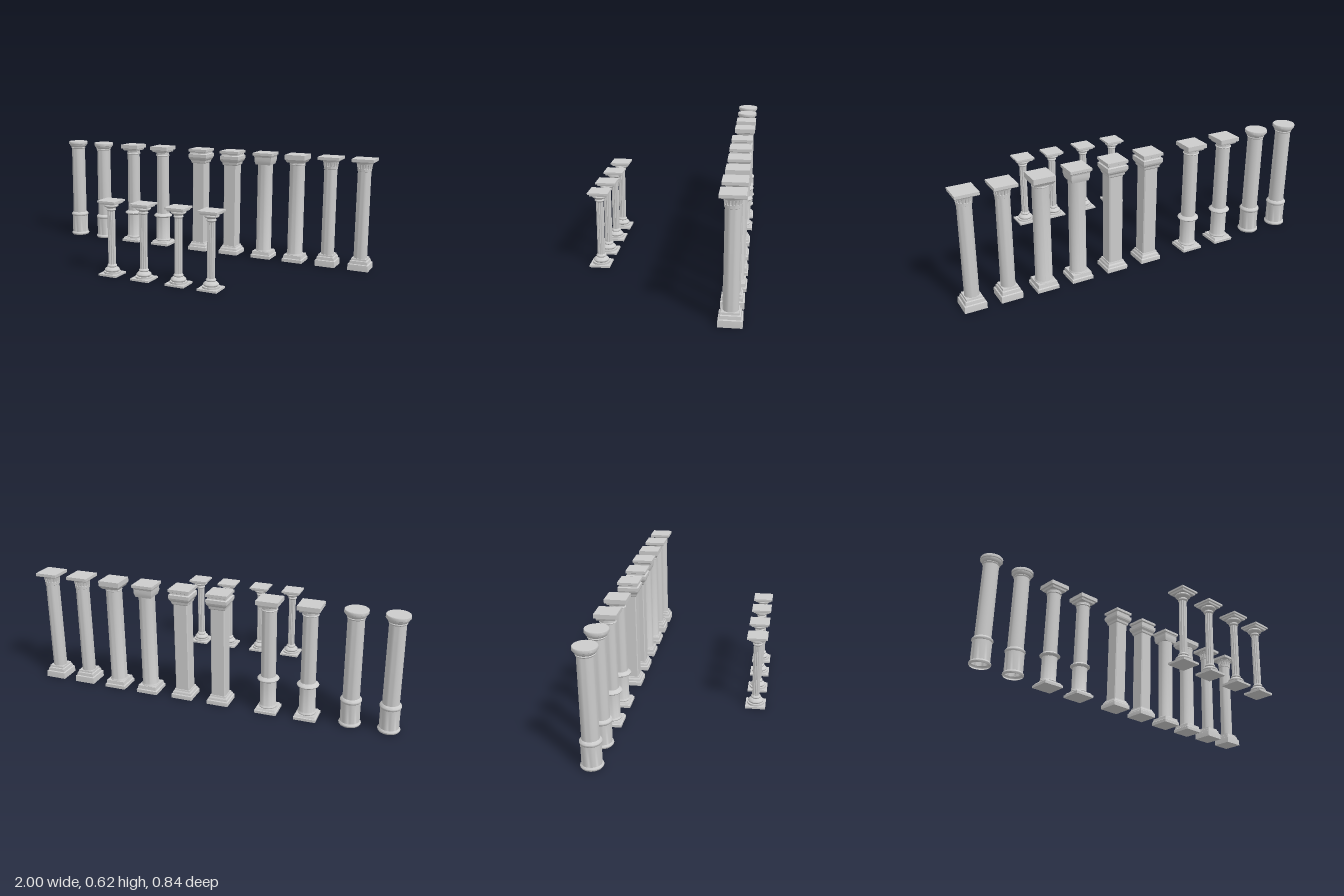
import * as THREE from 'three';
import { toCreasedNormals } from 'three/addons/utils/BufferGeometryUtils.js';

const grey = new THREE.MeshStandardMaterial({ color: 0xcccccc });
const greyOpen = new THREE.MeshStandardMaterial({ color: 0xcccccc, side: THREE.DoubleSide });

function add(group, name, geometry, material = grey) {
  const mesh = new THREE.Mesh(geometry, material);
  mesh.name = name;
  group.add(mesh);
  return mesh;
}

const points = (profile) => profile.map(([r, y]) => new THREE.Vector2(r, y));

// Round part from a [radius, height] profile, listed bottom to top
function round(group, name, profile, material) {
  const geometry = new THREE.LatheGeometry(points(profile), 32);
  return add(group, name, toCreasedNormals(geometry, 0.6), material);
}

// Square part from a [half width, height] profile, closed at both ends
function square(group, name, profile) {
  const closed = [[0, profile[0][1]], ...profile, [0, profile[profile.length - 1][1]]];
  const wide = closed.map(([w, y]) => [w * Math.SQRT2, y]);
  const geometry = new THREE.LatheGeometry(points(wide), 4, Math.PI / 4);
  return add(group, name, toCreasedNormals(geometry, 0.3));
}

// Half-round moulding as profile points
function bead(r, y0, y1, bulge, n = 6) {
  return Array.from({ length: n + 1 }, (_, i) => [
    r + bulge * Math.sin((Math.PI * i) / n), y0 + ((y1 - y0) * i) / n]);
}

// Plain drum column on a wider round pedestal, hollow underneath
function drumColumn() {
  const g = new THREE.Group();
  round(g, 'pedestal', [[0.05, 0], ...bead(0.052, 0, 0.018, 0.005), [0.05, 0.02], [0.05, 0.125],
    ...bead(0.05, 0.127, 0.147, 0.005), [0.043, 0.152]], greyOpen);
  round(g, 'shaft', [[0.043, 0.15], [0.042, 0.575]]);
  round(g, 'capital', [[0.042, 0.573], ...bead(0.043, 0.575, 0.583, 0.003), [0.047, 0.585],
    [0.052, 0.592], [0.056, 0.601], [0.06, 0.603], [0.06, 0.617], [0.058, 0.62], [0, 0.62]]);
  return g;
}

// Round column with a ring a third of the way up
function ringedColumn() {
  const g = new THREE.Group();
  square(g, 'plinth', [[0.058, 0], [0.058, 0.014], [0.053, 0.016], [0.048, 0.026]]);
  round(g, 'lowerShaft', [...bead(0.044, 0.024, 0.036, 0.004), [0.042, 0.04], [0.042, 0.175]]);
  round(g, 'ring', [[0.042, 0.173], ...bead(0.048, 0.176, 0.193, 0.009), [0.043, 0.197], [0.039, 0.2]]);
  round(g, 'shaft', [[0.039, 0.195], [0.038, 0.56], ...bead(0.039, 0.56, 0.568, 0.004),
    [0.039, 0.57], [0.039, 0.58], [0.047, 0.59], [0.047, 0.596]]);
  square(g, 'abacus', [[0.046, 0.585], [0.049, 0.595], [0.058, 0.598], [0.058, 0.62]]);
  return g;
}

// Square pier with a double-stepped capital
function squarePier() {
  const g = new THREE.Group();
  square(g, 'base', [[0.058, 0], [0.058, 0.022], [0.053, 0.026], [0.05, 0.036], [0.045, 0.042], [0.043, 0.05]]);
  const w = 0.039, c = 0.005;
  const outline = new THREE.Shape(points([[w, c - w], [w, w - c], [w - c, w], [c - w, w],
    [-w, w - c], [-w, c - w], [c - w, -w], [w - c, -w]]));
  const shaft = new THREE.ExtrudeGeometry(outline, { depth: 0.5, bevelEnabled: false });
  add(g, 'shaft', shaft.rotateX(-Math.PI / 2).translate(0, 0.045, 0));
  square(g, 'capital', [[0.04, 0.535], [0.044, 0.54], [0.046, 0.552], [0.054, 0.563], [0.057, 0.572],
    [0.057, 0.59], [0.05, 0.594], [0.05, 0.602], [0.058, 0.606], [0.058, 0.62]]);
  return g;
}

// Smooth round column with a square block capital
function blockColumn(stepped) {
  const g = new THREE.Group();
  square(g, 'plinth', [[0.059, 0], [0.059, 0.018], [0.054, 0.022], [0.051, 0.04]]);
  round(g, 'shaft', [[0.048, 0.038], [0.048, 0.042], [0.044, 0.048], [0.043, 0.56],
    ...bead(0.043, 0.56, 0.568, 0.002), [0.044, 0.586]]);
  square(g, 'capital', stepped
    ? [[0.044, 0.552], [0.047, 0.562], [0.05, 0.575], [0.05, 0.594], [0.053, 0.602], [0.058, 0.606], [0.058, 0.62]]
    : [[0.046, 0.575], [0.05, 0.581], [0.055, 0.59], [0.058, 0.593], [0.058, 0.62]]);
  return g;
}

// Round column with a flared capital cut by a ring of slots
function bellColumn() {
  const g = new THREE.Group();
  square(g, 'plinth', [[0.057, 0], [0.056, 0.034], [0.05, 0.037], [0.047, 0.053], [0.042, 0.056], [0.041, 0.066]]);
  round(g, 'shaft', [[0.037, 0.06], [0.036, 0.553]]);
  const bell = new THREE.LatheGeometry(points([[0.036, 0.549], [0.039, 0.551], [0.039, 0.558], [0.0395, 0.565],
    [0.0395, 0.566], [0.041, 0.576], [0.0435, 0.588], [0.0437, 0.589], [0.046, 0.596], [0.05, 0.6],
    [0.05, 0.606]]), 128);
  const pos = bell.attributes.position;
  for (let i = 0; i < pos.count; i++) {
    const y = pos.getY(i), step = Math.floor(i / 11) % 8;
    if (y > 0.5655 && y < 0.5885 && step >= 3 && step <= 6) {
      pos.setXYZ(i, pos.getX(i) * 0.91, y, pos.getZ(i) * 0.91);
    }
  }
  add(g, 'slottedCapital', toCreasedNormals(bell, 0.5));
  square(g, 'abacus', [[0.058, 0.602], [0.06, 0.605], [0.06, 0.62]]);
  return g;
}

// Short fluted column
function flutedColumn() {
  const g = new THREE.Group();
  square(g, 'plinth', [[0.054, 0], [0.054, 0.011]]);
  round(g, 'base', [[0.046, 0.01], [0.046, 0.02], ...bead(0.035, 0.02, 0.038, 0.006), [0.03, 0.041],
    [0.024, 0.045], ...bead(0.023, 0.045, 0.058, 0.004), [0.019, 0.061]]);
  const flutes = 12, steps = 6, outline = [];
  for (let i = 0; i < flutes * steps; i++) {
    const a = (i / (flutes * steps)) * Math.PI * 2;
    const r = 0.0205 - 0.0035 * Math.sin((Math.PI * (i % steps)) / steps);
    outline.push([r * Math.cos(a), r * Math.sin(a)]);
  }
  const shaft = new THREE.ExtrudeGeometry(new THREE.Shape(points(outline)), { depth: 0.3, bevelEnabled: false });
  add(g, 'flutedShaft', toCreasedNormals(shaft.rotateX(-Math.PI / 2).translate(0, 0.056, 0), 0.7));
  round(g, 'capital', [[0.019, 0.353], ...bead(0.022, 0.355, 0.367, 0.004), [0.022, 0.37], [0.028, 0.375],
    ...bead(0.034, 0.376, 0.392, 0.006), [0.037, 0.396]]);
  square(g, 'abacus', [[0.044, 0.392], [0.046, 0.401], [0.054, 0.402], [0.054, 0.412]]);
  return g;
}

export function createModel() {
  const model = new THREE.Group();
  model.name = 'columnCollection';
  const place = (name, column, x, z) => {
    column.name = name;
    column.position.set(x, 0, z);
    model.add(column);
  };
  // Back row of tall columns, in pairs
  for (const x of [-0.94, -0.743]) place('drumColumn', drumColumn(), x, -0.36);
  for (const x of [-0.521, -0.311]) place('ringedColumn', ringedColumn(), x, -0.363);
  for (const x of [-0.045, 0.16]) place('squarePier', squarePier(), x, -0.357);
  place('steppedBlockColumn', blockColumn(true), 0.365, -0.36);
  place('blockColumn', blockColumn(false), 0.558, -0.36);
  for (const x of [0.751, 0.938]) place('bellColumn', bellColumn(), x, -0.358);
  // Front row of short columns
  for (const x of [-0.232, -0.034, 0.172, 0.357]) place('flutedColumn', flutedColumn(), x, 0.364);
  return model;
}
